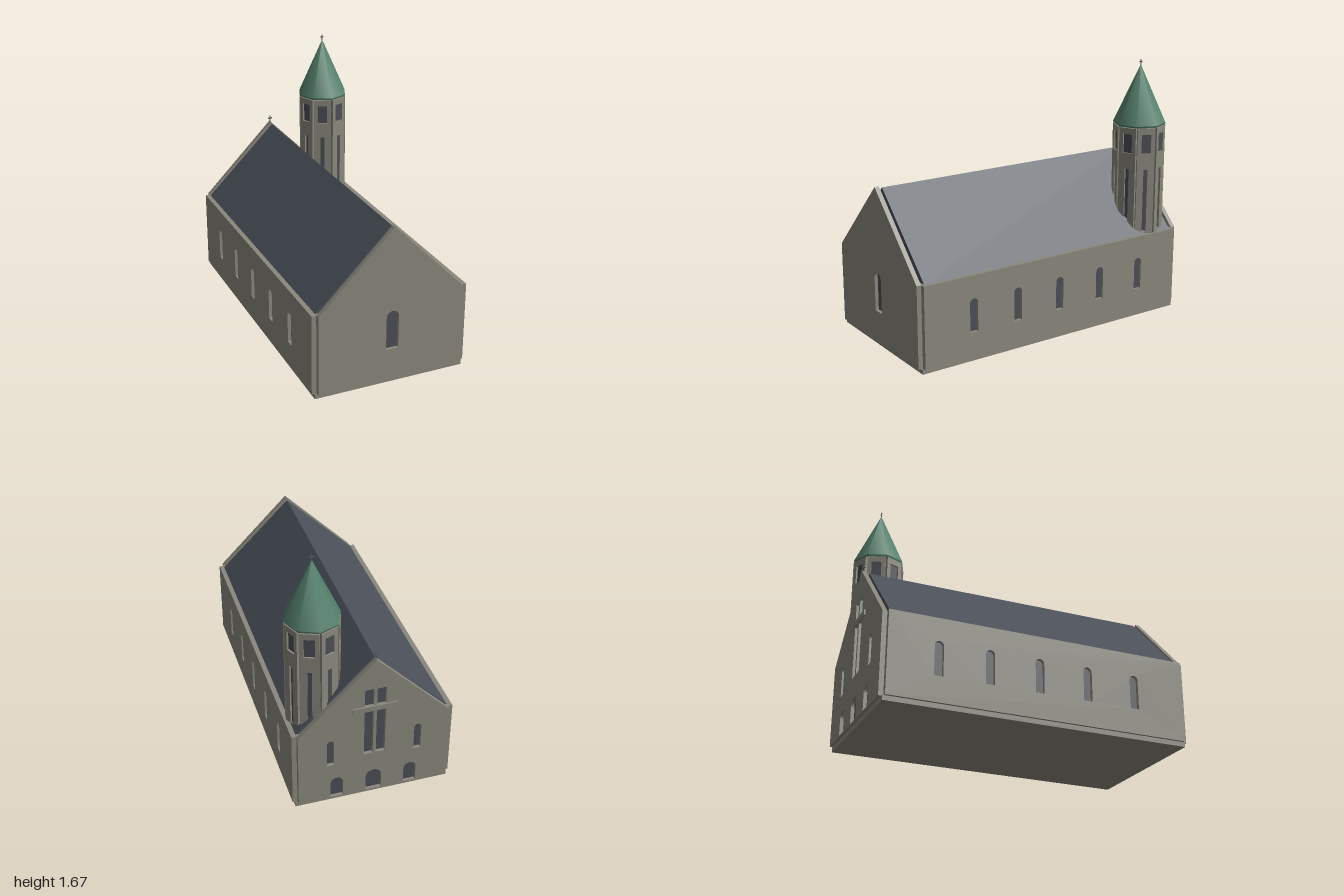
import * as THREE from 'three';

const mat = (name, color) => {
  const m = new THREE.MeshStandardMaterial({ color });
  m.name = name;
  return m;
};

export function createModel() {
  const stone = mat('stone', 0x8a887d);
  const slate = mat('slate', 0x4a5059);
  const glass = mat('darkGlass', 0x4b4e56);
  const copper = mat('greenCopper', 0x54806c);
  const iron = mat('iron', 0x5c5c5e);

  const church = new THREE.Group();
  church.name = 'church';

  const add = (parent, name, geometry, material, x = 0, y = 0, z = 0) => {
    const mesh = new THREE.Mesh(geometry, material);
    mesh.name = name;
    mesh.position.set(x, y, z);
    parent.add(mesh);
    return mesh;
  };
  const box = (parent, name, w, h, d, material, x, y, z) =>
    add(parent, name, new THREE.BoxGeometry(w, h, d), material, x, y, z);

  // Opening outline: bottom centre at (x, y), optionally with a round arch
  const opening = ({ x, y, w, h, arch }) => {
    const s = new THREE.Shape();
    const r = w / 2;
    s.moveTo(x - r, y);
    s.lineTo(x + r, y);
    if (arch) {
      s.lineTo(x + r, y + h - r);
      s.absarc(x, y + h - r, r, 0, Math.PI, false);
    } else {
      s.lineTo(x + r, y + h);
      s.lineTo(x - r, y + h);
    }
    s.closePath();
    return s;
  };

  // Wall slab with recessed openings, outer face towards +z
  const wall = (name, outline, depth, recess, openings) => {
    const g = new THREE.Group();
    g.name = name;
    const shape = new THREE.Shape(outline.map(([x, y]) => new THREE.Vector2(x, y)));
    shape.holes = openings.map(opening);
    add(g, name + 'Slab', new THREE.ExtrudeGeometry(shape, { depth, bevelEnabled: false, curveSegments: 8 }), stone);
    openings.forEach((o) =>
      add(g, name + 'Pane', new THREE.ShapeGeometry(opening(o), 8), glass, 0, 0, depth - recess));
    return g;
  };

  // Plinth and body
  box(church, 'plinth', 0.98, 0.03, 1.94, stone, 0, 0.015, 0);
  box(church, 'body', 0.95, 0.52, 1.92, stone, 0, 0.29, 0);

  // Long side walls with five arched windows
  for (const side of [1, -1]) {
    const windows = [-2, -1, 0, 1, 2].map((k) => (
      { x: k * 0.3175 + side * 0.015, y: 0.19, w: 0.056, h: 0.215, arch: true }));
    const w = wall(side > 0 ? 'leftWall' : 'rightWall',
      [[-0.96, 0.03], [0.96, 0.03], [0.96, 0.55], [-0.96, 0.55]], 0.03, 0.022, windows);
    w.rotation.y = side * Math.PI / 2;
    w.position.x = side * 0.475;
    church.add(w);
  }

  // Gable ends
  const gable = [[-0.475, 0.03], [0.475, 0.03], [0.475, 0.55], [0, 1.03], [-0.475, 0.55]];
  const front = wall('frontGable', gable, 0.03, 0.022, [{ x: 0, y: 0.235, w: 0.08, h: 0.255, arch: true }]);
  front.position.z = 0.96;
  church.add(front);

  const back = wall('backGable', gable, 0.03, 0.022, [
    { x: 0, y: 0.035, w: 0.1, h: 0.155, arch: true },
    ...[-1, 1].flatMap((s) => [
      { x: s * 0.235, y: 0.035, w: 0.08, h: 0.15, arch: true },
      { x: s * 0.275, y: 0.295, w: 0.045, h: 0.19, arch: true },
      { x: s * 0.038, y: 0.33, w: 0.056, h: 0.49 },
    ]),
  ]);
  back.rotation.y = Math.PI;
  back.position.z = -0.96;
  church.add(back);
  box(back, 'crossBeam', 0.28, 0.035, 0.024, stone, 0, 0.682, 0.028);

  // Pitched roof between the gables
  const roofShape = new THREE.Shape([[-0.475, 0.55], [0.475, 0.55], [0, 1.02]].map(([x, y]) => new THREE.Vector2(x, y)));
  add(church, 'roof', new THREE.ExtrudeGeometry(roofShape, { depth: 1.88, bevelEnabled: false }), slate, 0, 0, -0.94);

  // Small finial crosses
  const finial = (parent, name, x, y, z, h, t) => {
    box(parent, name + 'Post', t, h, 0.004, iron, x, y + h / 2, z);
    box(parent, name + 'Arm', 0.03, t, 0.004, iron, x, y + h * 0.65, z);
  };
  finial(church, 'gableCross', 0, 1.02, -0.975, 0.052, 0.008);

  // Octagonal tower: a core faced with eight slotted panels
  const tower = new THREE.Group();
  tower.name = 'tower';
  tower.position.set(0.322, 0, -0.785);
  church.add(tower);
  const core = new THREE.CylinderGeometry(0.155, 0.155, 0.74, 8).toNonIndexed();
  core.computeVertexNormals();
  add(tower, 'towerCore', core, stone, 0, 0.88, 0);
  for (let i = 0; i < 8; i++) {
    const a = (i + 0.5) * Math.PI / 4;
    const panel = wall('towerPanel', [[-0.059, 0.5], [0.059, 0.5], [0.059, 1.25], [-0.059, 1.25]], 0.018, 0.012, [
      { x: 0, y: 0.56, w: 0.028, h: 0.42 },
      { x: 0, y: 1.085, w: 0.064, h: 0.125 },
    ]);
    panel.rotation.y = a;
    panel.position.set(Math.sin(a) * 0.141, 0, Math.cos(a) * 0.141);
    tower.add(panel);
  }

  // Spire
  add(tower, 'spireRim', new THREE.CylinderGeometry(0.17, 0.166, 0.012, 8), copper, 0, 1.259, 0);
  add(tower, 'spire', new THREE.ConeGeometry(0.17, 0.375, 8), copper, 0, 1.4525, 0);
  finial(tower, 'spireCross', 0, 1.63, 0, 0.042, 0.005);

  // The whole building stands slightly turned
  church.rotation.y = 0.0156;
  const model = new THREE.Group();
  model.name = 'model';
  model.add(church);
  return model;
}
